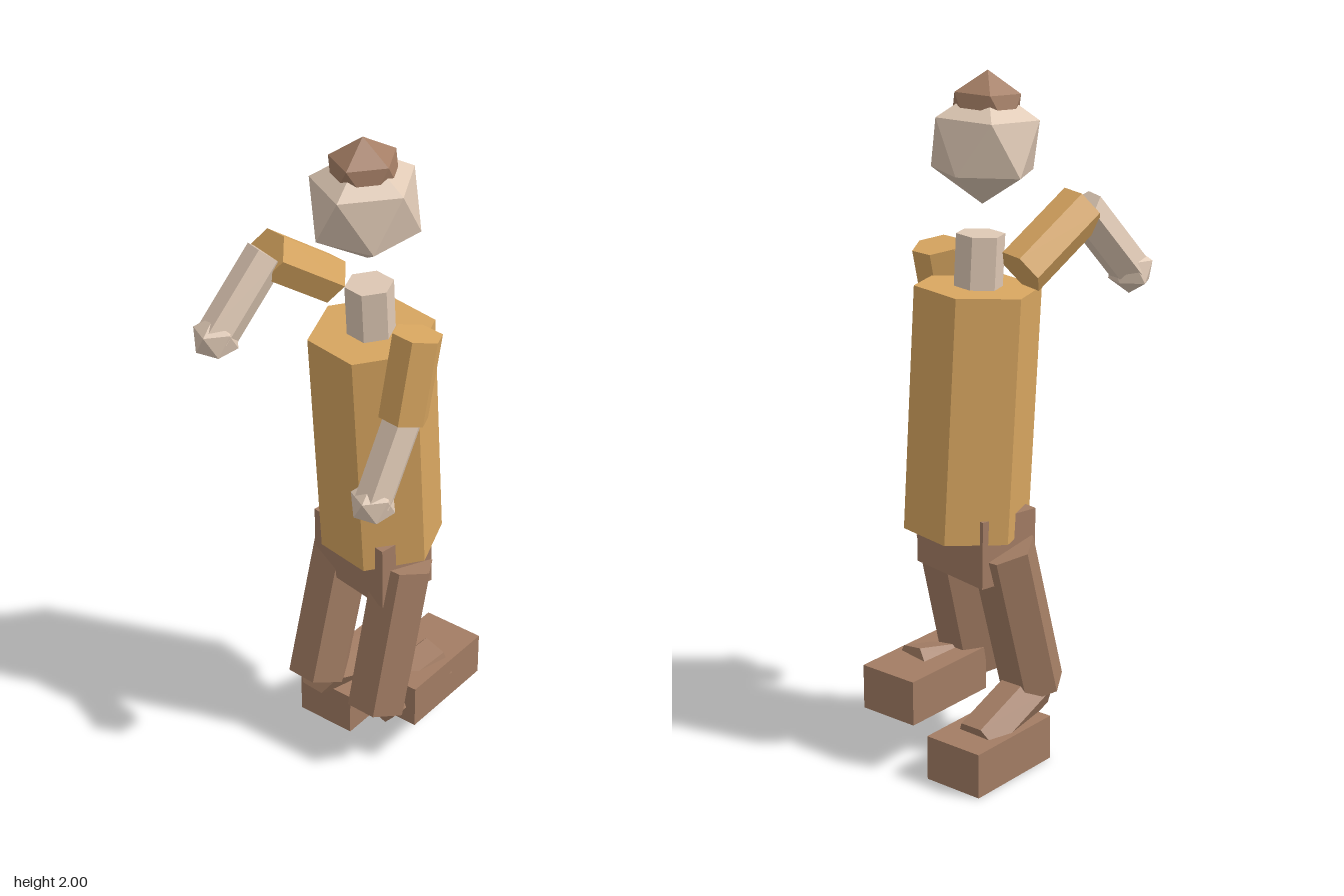
import * as THREE from 'three';

const rad = THREE.MathUtils.degToRad;
const UP = new THREE.Vector3(0, 1, 0);

export function createModel() {
  const group = new THREE.Group();
  const material = (name, color) => {
    const m = new THREE.MeshStandardMaterial({ color, flatShading: true });
    m.name = name;
    return m;
  };
  const shirt = material('ochre shirt', 0xd8a660);
  const skin = material('pale skin', 0xdec8b4);
  const brown = material('brown cloth', 0xa37d64);

  const add = (name, geometry, mat) => {
    const mesh = new THREE.Mesh(geometry, mat);
    mesh.name = name;
    group.add(mesh);
    return mesh;
  };

  // Six-sided prism running from point a to point b
  const prism = (name, a, b, r, mat, twist = 20) => {
    const from = new THREE.Vector3(...a);
    const to = new THREE.Vector3(...b);
    const axis = to.clone().sub(from);
    const geometry = new THREE.CylinderGeometry(r, r, axis.length(), 6);
    geometry.rotateY(rad(twist));
    const mesh = add(name, geometry, mat);
    mesh.quaternion.setFromUnitVectors(UP, axis.normalize());
    mesh.position.copy(from).add(to).multiplyScalar(0.5);
    return mesh;
  };

  // Faceted ball with a vertex at the top, leaning with the body
  const ball = (name, p, r, mat) => {
    const geometry = new THREE.IcosahedronGeometry(r, 0);
    geometry.rotateZ(-Math.atan(2 / (1 + Math.sqrt(5))));
    const mesh = add(name, geometry, mat);
    mesh.position.set(...p);
    mesh.rotation.set(rad(3.5), rad(-9), 0, 'YXZ');
    return mesh;
  };

  const box = (name, size, p, mat) => {
    const mesh = add(name, new THREE.BoxGeometry(...size), mat);
    mesh.position.set(...p);
    return mesh;
  };

  // Trunk and head
  prism('torso', [0.052, 0.70, -0.107], [0.04, 1.405, -0.065], 0.18, shirt);
  prism('neck', [0.04, 1.38, -0.066], [0.037, 1.553, -0.057], 0.069, skin);
  box('pelvis', [0.29, 0.2, 0.195], [0.04, 0.672, -0.08], brown)
    .rotation.set(rad(1), rad(-10), 0, 'YXZ');
  ball('head', [0.035, 1.8, -0.04], 0.166, skin);
  ball('hair', [0.036, 1.894, -0.034], 0.106, brown);

  // Arms: the right one is raised
  const arms = {
    left: [[0.229, 1.482, -0.02], [0.222, 1.24, 0.03], [0.207, 1.015, 0.143]],
    right: [[-0.145, 1.485, -0.108], [-0.195, 1.633, 0.097], [-0.24, 1.432, 0.262]],
  };
  for (const [side, [shoulder, elbow, wrist]] of Object.entries(arms)) {
    prism(side + 'UpperArm', shoulder, elbow, 0.072, shirt);
    prism(side + 'Forearm', elbow, wrist, 0.058, skin);
    ball(side + 'Hand', wrist, 0.068, skin);
  }

  // Bent legs, with shins running back to the feet
  const legs = {
    left: [[0.157, 0.67, -0.07], [0.147, 0.208, 0.037], [0.19, 0.25, -0.195], [0.165, 0.22, -0.163]],
    right: [[-0.075, 0.67, -0.1], [-0.088, 0.208, 0.022], [-0.08, 0.105, -0.22], [-0.077, 0.068, -0.163]],
  };
  for (const [side, [hip, knee, ankle, foot]] of Object.entries(legs)) {
    prism(side + 'Thigh', hip, knee, 0.094, brown);
    prism(side + 'Shin', knee, ankle, 0.074, brown, 30);
    box(side + 'Foot', [0.19, 0.135, 0.325], foot, brown);
  }

  return group;
}
